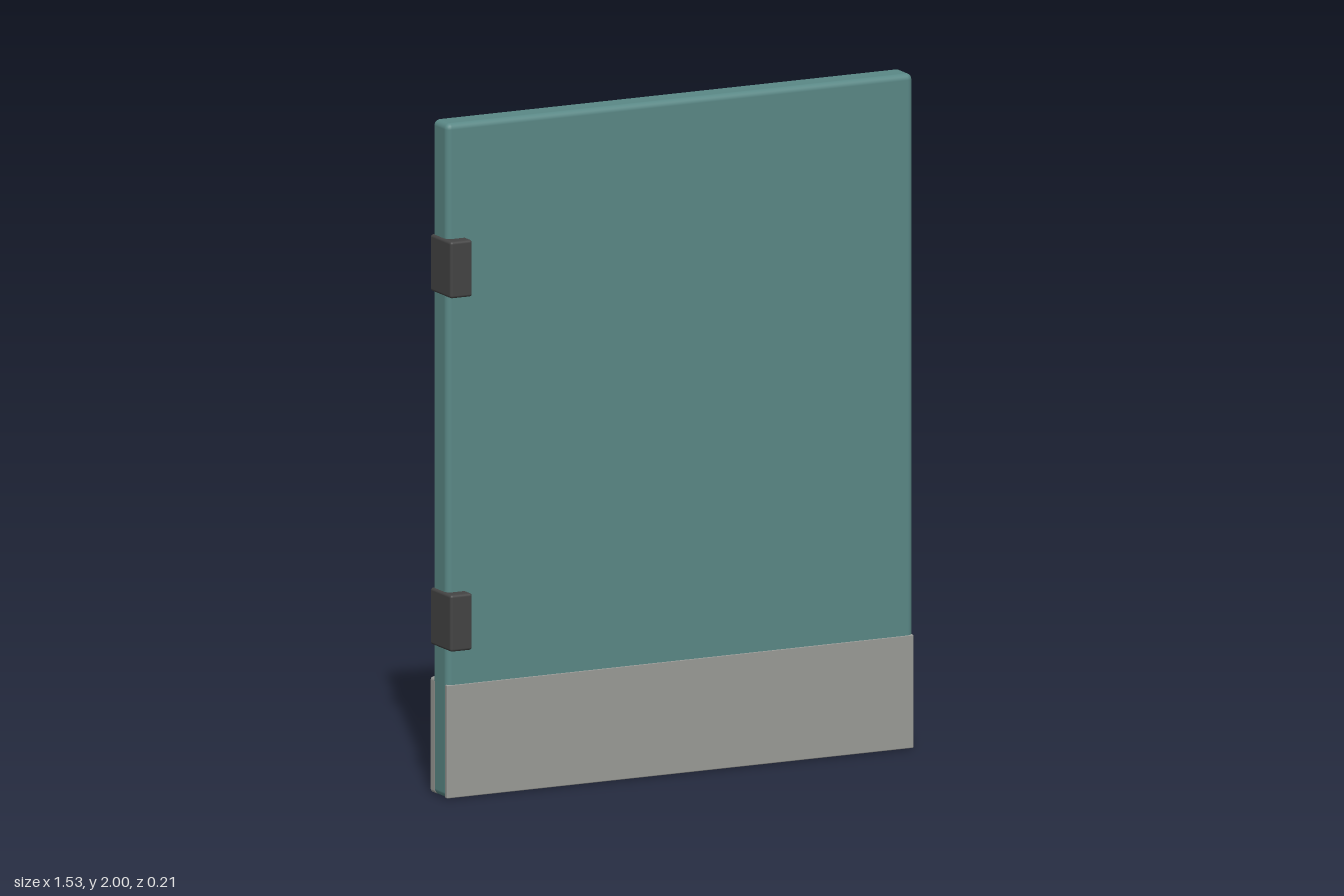
import * as THREE from 'three';
import { RoundedBoxGeometry } from 'three/addons/geometries/RoundedBoxGeometry.js';

const paint = new THREE.MeshStandardMaterial({ color: 0x5a8886 });
const steel = new THREE.MeshStandardMaterial({ color: 0x9a9b97 });
const iron = new THREE.MeshStandardMaterial({ color: 0x444444 });

// Rounded box given by its extents on each axis
function block(name, [x0, x1], [y0, y1], [z0, z1], radius, material) {
  const geometry = new RoundedBoxGeometry(x1 - x0, y1 - y0, z1 - z0, 3, radius);
  const mesh = new THREE.Mesh(geometry, material);
  mesh.name = name;
  mesh.position.set((x0 + x1) / 2, (y0 + y1) / 2, (z0 + z1) / 2);
  return mesh;
}

export function createModel() {
  const door = new THREE.Group();
  door.name = 'door';
  const width = [-0.757, 0.765];

  // Door leaf
  door.add(block('doorPanel', width, [0, 2], [-0.027, 0.065], 0.018, paint));

  // Kick plates on both faces; the front one sits almost flush
  door.add(block('frontKickPlate', width, [0.002, 0.338], [0.052, 0.066], 0.003, steel));
  door.add(block('backKickPlate', width, [0.002, 0.345], [-0.045, -0.005], 0.01, steel));

  // Push rail, lock plate and upright handle on the back
  door.add(block('rail', [-0.7, 0.708], [1.435, 1.525], [-0.045, -0.015], 0.005, steel));
  door.add(block('lockPlate', [0.488, 0.62], [1.14, 1.345], [-0.054, -0.02], 0.006, steel));
  const handle = new THREE.Mesh(new THREE.CylinderGeometry(0.028, 0.028, 0.186, 24), steel);
  handle.name = 'handle';
  handle.position.set(0.552, 1.003, -0.077);
  door.add(handle);

  // Hinges wrap the door edge
  for (const y of [0.528, 1.575]) {
    door.add(block('hinge', [-0.765, -0.693], [y - 0.084, y + 0.084], [-0.026, 0.104], 0.008, iron));
  }
  return door;
}
